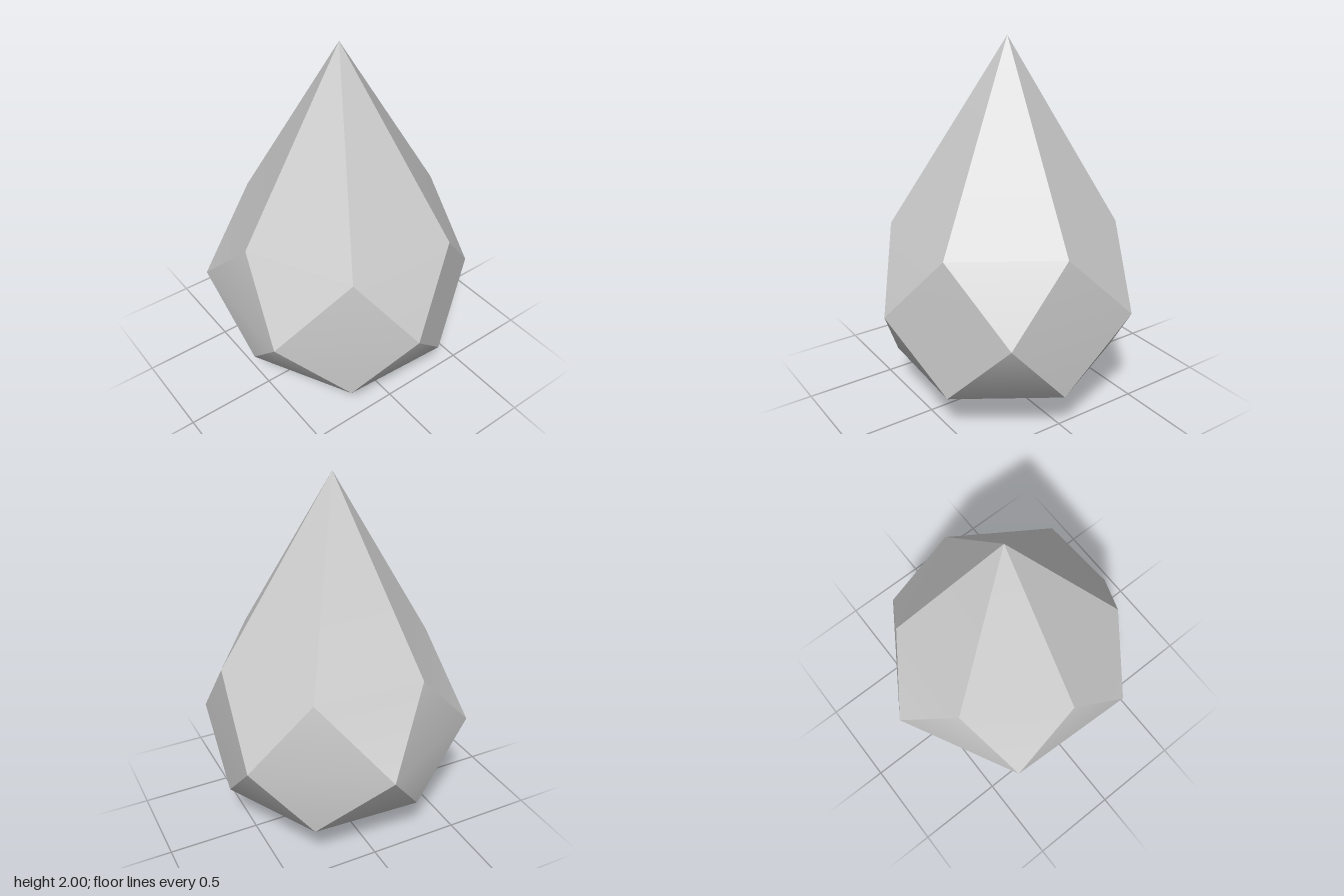
import * as THREE from 'three';

// Six-sided ring of corner points, slightly rotated and offset
function ring(y, radius, startDeg, cx, cz) {
  return Array.from({ length: 6 }, (_, k) => {
    const a = THREE.MathUtils.degToRad(startDeg + 60 * k);
    return [cx + radius * Math.cos(a), y, cz + radius * Math.sin(a)];
  });
}

// Facets own their corners, so edges between them stay sharp
function facetGeometry(facets) {
  const positions = [], index = [];
  facets.forEach((corners, i) => {
    corners.forEach((p) => positions.push(...p));
    const [top, left, bottom, right] = [0, 1, 2, 3].map((n) => 4 * i + n);
    index.push(top, left, right, left, bottom, right);
  });
  const geometry = new THREE.BufferGeometry();
  geometry.setAttribute('position', new THREE.Float32BufferAttribute(positions, 3));
  geometry.setIndex(index);
  geometry.computeVertexNormals();
  return geometry;
}

export function createModel() {
  const group = new THREE.Group();
  group.name = 'facetedGem';
  const material = new THREE.MeshStandardMaterial({ color: 0xcccccc });

  // Corner points from tip to base
  const tip = [0.01, 2, 0];
  const shoulder = ring(1.02, 0.6, 3, 0.02, 0.03);
  const girdle = ring(0.63, 0.735, 32.5, 0, 0);
  const foot = ring(0.255, 0.6, 3, 0.02, 0.03);
  const base = [0.01, 0, 0];

  // Each facet lists its top, left, bottom and right corners
  const crown = [], belt = [], pavilion = [];
  for (let k = 0; k < 6; k++) {
    const next = (k + 1) % 6, prev = (k + 5) % 6;
    crown.push([tip, shoulder[next], girdle[k], shoulder[k]]);
    belt.push([shoulder[k], girdle[k], foot[k], girdle[prev]]);
    pavilion.push([girdle[k], foot[next], base, foot[k]]);
  }

  for (const [name, facets] of Object.entries({ crown, belt, pavilion })) {
    const mesh = new THREE.Mesh(facetGeometry(facets), material);
    mesh.name = name + 'Facets';
    group.add(mesh);
  }
  return group;
}
